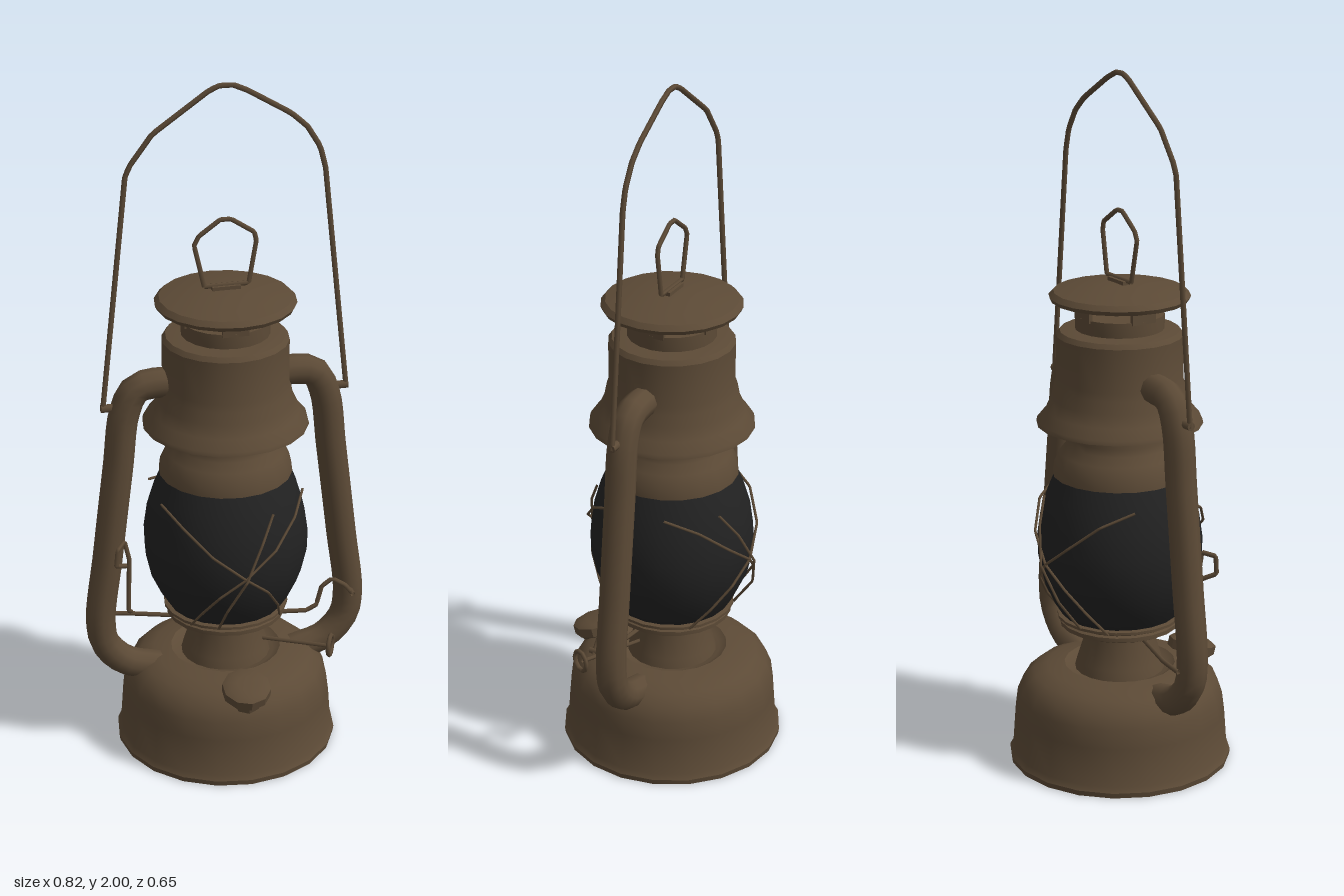
import * as THREE from 'three';
import { toCreasedNormals } from 'three/addons/utils/BufferGeometryUtils.js';

const metal = new THREE.MeshStandardMaterial({ color: 0x5c4a36, side: THREE.DoubleSide });
metal.name = 'aged brown metal';
const glass = new THREE.MeshStandardMaterial({ color: 0x222222, side: THREE.DoubleSide });
glass.name = 'dark glass';

const V = (x, y, z = 0) => new THREE.Vector3(x, y, z);

export function createModel() {
  const lantern = new THREE.Group();
  lantern.name = 'lantern';

  const add = (name, geometry, material = metal, parent = lantern) => {
    const mesh = new THREE.Mesh(geometry, material);
    mesh.name = name;
    parent.add(mesh);
    return mesh;
  };
  // Turned part from [radius, height] pairs, bottom to top
  const turned = (name, profile, material, parent, sides = 20) => {
    const points = profile.map(([r, y]) => new THREE.Vector2(r, y));
    return add(name, toCreasedNormals(new THREE.LatheGeometry(points, sides), 0.6), material, parent);
  };
  // Straight-sided path of bent wire
  const wire = (name, points, radius = 0.006, closed = false) => {
    const path = new THREE.CurvePath();
    const ends = closed ? [...points, points[0]] : points;
    for (let i = 1; i < ends.length; i++) path.add(new THREE.LineCurve3(ends[i - 1], ends[i]));
    return add(name, new THREE.TubeGeometry(path, ends.length * 8, radius, 5));
  };

  // Fuel tank and burner
  turned('fuelTank', [[0, 0.015], [0.29, 0.015], [0.32, 0], [0.322, 0.015], [0.312, 0.03], [0.304, 0.14],
    [0.297, 0.195], [0.28, 0.235], [0.25, 0.262], [0.21, 0.278], [0.16, 0.285], [0.14, 0.272], [0, 0.272]]);
  turned('burnerCone', [[0.13, 0.27], [0.122, 0.3], [0.1, 0.37], [0.1, 0.41]]);
  turned('globePlate', [[0, 0.4], [0.15, 0.4], [0.172, 0.41], [0.172, 0.422], [0.163, 0.426],
    [0.18, 0.434], [0.18, 0.442], [0.16, 0.446], [0, 0.446]]);

  // Globe with the wire guard crossing in front and behind
  turned('globe', [[0.165, 0.44], [0.19, 0.48], [0.218, 0.54], [0.234, 0.61], [0.236, 0.67],
    [0.226, 0.74], [0.205, 0.81], [0.18, 0.87]], glass);
  for (const side of [1, -1]) {
    for (const mirror of [1, -1]) {
      const bend = [[-0.205, 0.81, 0.08], [-0.16, 0.77, 0.165], [-0.09, 0.7, 0.222], [0, 0.63, 0.243],
        [0.07, 0.57, 0.222], [0.11, 0.5, 0.175], [0.13, 0.435, 0.12]];
      wire('globeGuardWire', bend.map(([x, y, z]) => V(x * mirror, y, z * side * 1.02)), 0.004);
    }
    // Loose side hoops standing just off the glass
    wire('globeGuardHoop', [V(-0.06, 0.44, 0.17 * side), V(-0.05, 0.53, 0.235 * side),
      V(0, 0.63, 0.262 * side), V(0.05, 0.73, 0.235 * side), V(0.09, 0.8, 0.195 * side)], 0.004);
  }

  // Collar, hood and chimney
  turned('globeCollar', [[0.17, 0.86], [0.19, 0.86], [0.186, 0.89], [0.17, 0.925], [0.15, 0.95],
    [0.145, 0.97], [0.145, 1.1]]);
  turned('hood', [[0.235, 1.01], [0.232, 1.022], [0.208, 1.05], [0.192, 1.085], [0.185, 1.12],
    [0.178, 1.14], [0.178, 1.265], [0.168, 1.278], [0.13, 1.283], [0, 1.283]]);
  turned('chimneyBase', [[0.125, 1.28], [0.125, 1.325], [0, 1.325]]);
  for (let i = 0; i < 4; i++) {
    const post = add('chimneyPost', new THREE.BoxGeometry(0.075, 0.06, 0.012));
    const angle = (i * Math.PI) / 2;
    post.position.set(Math.sin(angle) * 0.118, 1.348, Math.cos(angle) * 0.118);
    post.rotation.y = angle;
  }
  turned('chimneyCap', [[0, 1.37], [0.14, 1.372], [0.192, 1.364], [0.198, 1.376], [0.185, 1.39],
    [0.14, 1.4], [0.07, 1.411], [0, 1.412]]);

  // Lifting ring on the cap
  const ringBase = add('ringBracket', new THREE.BoxGeometry(0.08, 0.014, 0.03));
  ringBase.position.set(0, 1.415, 0);
  wire('liftingRing', [V(-0.06, 1.422), V(-0.088, 1.545), V(-0.075, 1.57), V(-0.015, 1.613),
    V(0.015, 1.613), V(0.08, 1.57), V(0.086, 1.545), V(0.065, 1.422)], 0.007, true);

  // Side air tubes
  for (const side of [1, -1]) {
    const path = new THREE.CatmullRomCurve3([V(0.14, 1.145), V(0.2, 1.148), V(0.255, 1.135), V(0.288, 1.07),
      V(0.31, 0.9), V(0.345, 0.62), V(0.37, 0.41), V(0.357, 0.335), V(0.3, 0.272), V(0.2, 0.24)]
      .map((p) => p.setX(p.x * side)), false, 'centripetal');
    add(side > 0 ? 'leftAirTube' : 'rightAirTube', new THREE.TubeGeometry(path, 36, 0.043, 10));
    // Ear holding the end of the handle
    const ear = add('handleEar', new THREE.CylinderGeometry(0.012, 0.012, 0.07, 8));
    ear.rotation.z = Math.PI / 2;
    ear.position.set(0.32 * side, 1.085, 0);
  }

  // Carrying handle
  wire('carryingHandle', [V(-0.35, 1.08), V(-0.275, 1.76), V(-0.26, 1.79), V(-0.2, 1.87), V(-0.15, 1.905),
    V(-0.05, 1.975), V(-0.02, 1.99), V(0.02, 1.99), V(0.06, 1.972), V(0.18, 1.9), V(0.225, 1.86),
    V(0.262, 1.8), V(0.278, 1.74), V(0.35, 1.08)], 0.008);

  // Fuel filler, tilted outward
  const filler = new THREE.Group();
  filler.name = 'fuelFiller';
  filler.position.set(0, 0.215, 0.235);
  filler.rotation.x = 0.27;
  lantern.add(filler);
  turned('fillerNeck', [[0.05, 0], [0.05, 0.05]], metal, filler, 10);
  turned('fillerCap', [[0, 0.035], [0.052, 0.035], [0.07, 0.052], [0.07, 0.078], [0.055, 0.086],
    [0.03, 0.09], [0, 0.09]], metal, filler, 10);

  // Globe lifting lever
  wire('globeLever', [V(-0.39, 0.4, -0.06), V(-0.3, 0.4, -0.05), V(-0.12, 0.395, 0), V(0.23, 0.393, 0.05),
    V(0.26, 0.41, 0.053), V(0.275, 0.47, 0.054), V(0.305, 0.492, 0.055), V(0.345, 0.465, 0.055),
    V(0.37, 0.43, 0.055)], 0.007);
  wire('leverGrip', [V(0.365, 0.44, 0.04), V(0.365, 0.44, 0.07)], 0.008);

  // Wick shaft and thumb ring
  wire('wickShaft', [V(0.08, 0.325, 0.05), V(0.27, 0.325, 0.15)], 0.006);
  const knob = add('wickKnob', new THREE.TorusGeometry(0.03, 0.007, 5, 10));
  knob.position.set(0.275, 0.328, 0.153);
  knob.rotation.y = Math.atan2(0.19, 0.1);

  // Latch wire beside the right tube
  wire('latchWire', [V(-0.29, 0.46, 0.05), V(-0.3, 0.47, 0.06), V(-0.297, 0.64, 0.07), V(-0.31, 0.7, 0.07),
    V(-0.335, 0.69, 0.1), V(-0.34, 0.64, 0.1), V(-0.3, 0.615, 0.06)], 0.007);

  return lantern;
}
